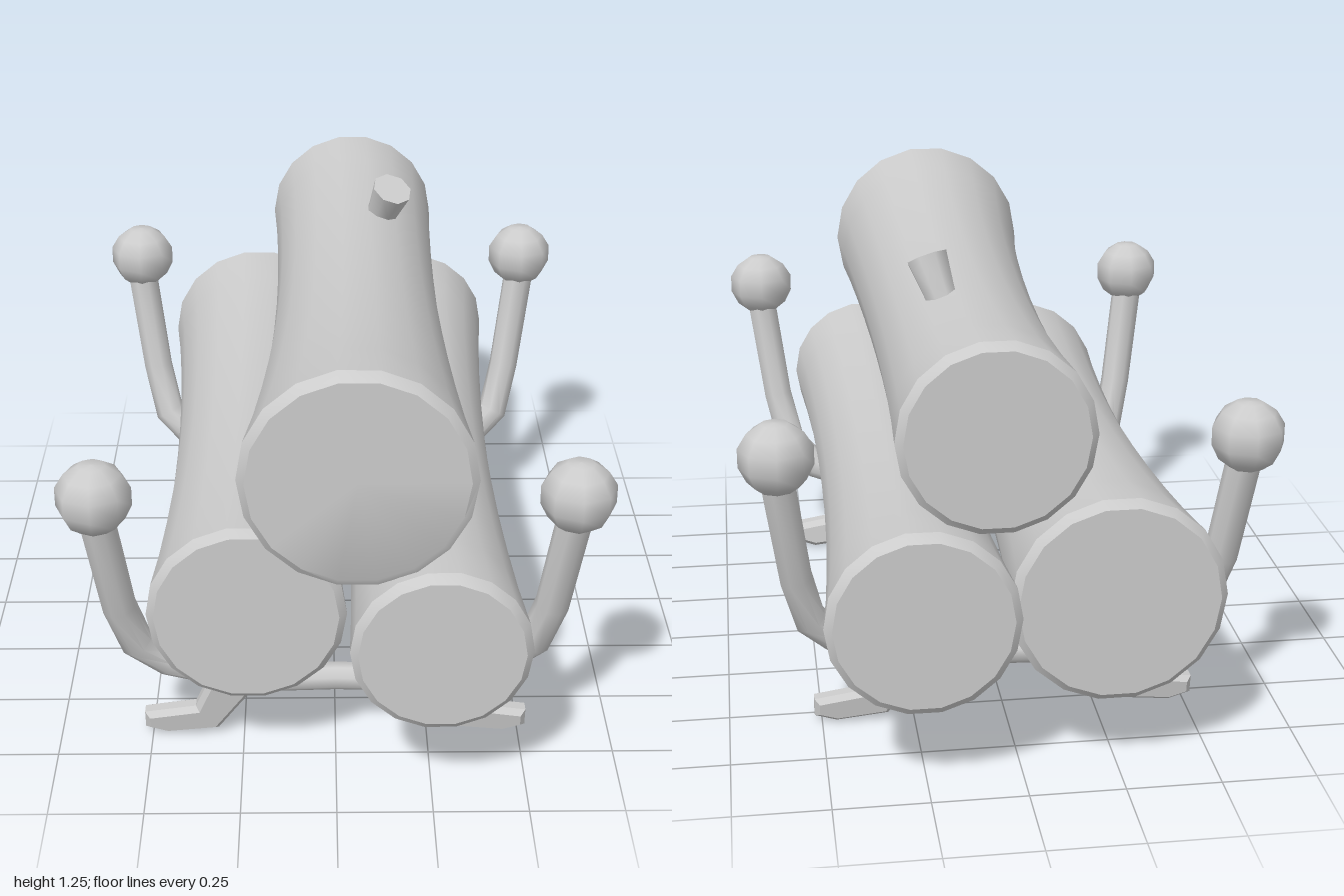
import * as THREE from 'three';
import { toCreasedNormals } from 'three/addons/utils/BufferGeometryUtils.js';

const grey = new THREE.MeshStandardMaterial({ color: 0xcccccc });

function mesh(name, geometry, parent) {
  const m = new THREE.Mesh(geometry, grey);
  m.name = name;
  parent.add(m);
  return m;
}

// Closed loft through rings [x, y, z, radius]; ref fixes the ring orientation
function loft(rings, sides, ref, crease) {
  const pts = rings.map(r => new THREE.Vector3(r[0], r[1], r[2]));
  const pos = [], index = [];
  const last = rings.length - 1;
  // One tangent direction per ring, from the segments on either side
  const tangents = pts.map((p, i) => {
    const a = pts[Math.max(i - 1, 0)], b = pts[Math.min(i + 1, last)];
    const t = new THREE.Vector3();
    if (i > 0) t.add(p.clone().sub(a).normalize());
    if (i < last) t.add(b.clone().sub(p).normalize());
    return t.normalize();
  });
  pts.forEach((p, i) => {
    const t = tangents[i];
    const u = ref.clone().addScaledVector(t, -ref.dot(t)).normalize();
    const v = t.clone().cross(u);
    for (let j = 0; j < sides; j++) {
      const a = (j + 0.5) / sides * Math.PI * 2;
      const q = p.clone().addScaledVector(u, Math.cos(a) * rings[i][3]).addScaledVector(v, Math.sin(a) * rings[i][3]);
      pos.push(q.x, q.y, q.z);
    }
  });
  for (let i = 0; i < last; i++) {
    for (let j = 0; j < sides; j++) {
      const k = (j + 1) % sides;
      const a = i * sides + j, b = i * sides + k;
      index.push(a, b, a + sides, b, b + sides, a + sides);
    }
  }
  // End caps
  const c0 = pos.length / 3;
  pos.push(...pts[0].toArray(), ...pts[last].toArray());
  for (let j = 0; j < sides; j++) {
    const k = (j + 1) % sides;
    index.push(c0, k, j, c0 + 1, last * sides + j, last * sides + k);
  }
  const g = new THREE.BufferGeometry();
  g.setAttribute('position', new THREE.Float32BufferAttribute(pos, 3));
  g.setIndex(index);
  return toCreasedNormals(g, crease);
}

// Log with a narrowed waist and bevelled ends; each end and the waist is [x, y, z, r]
function log(name, back, waist, front, parent) {
  const curve = n => {
    const [a, b, c] = [back[n], waist[n], front[n]];
    const s = (waist[2] - back[2]) / (front[2] - back[2]);
    // Quadratic through the three given sections
    return t => a * (t - s) * (t - 1) / s + b * t * (t - 1) / (s * (s - 1)) + c * t * (t - s) / (1 - s);
  };
  const f = [0, 1, 2, 3].map(curve);
  const rings = [];
  const steps = 10;
  for (let i = 0; i <= steps; i++) rings.push(f.map(fn => fn(i / steps)));
  const [b, e] = [rings[0], rings[steps]];
  const bevel = 0.02;
  rings.unshift([b[0], b[1], b[2], b[3] - bevel]);
  rings.push([e[0], e[1], e[2], e[3] - bevel]);
  rings[1][2] += bevel;
  rings[steps + 1][2] -= bevel;
  mesh(name, loft(rings, 18, new THREE.Vector3(0, 1, 0), 0.6), parent);
}

// Curved rail with two posts, ball finials and splayed feet
function andiron() {
  const g = new THREE.Group();
  const half = [
    [0.23, 0.185, 0.605, 0.038],
    [0.445, 0.265, 0.63, 0.044],
    [0.525, 0.345, 0.66, 0.046],
    [0.56, 0.49, 0.71, 0.045],
    [0.6, 0.79, 0.755, 0.046],
  ];
  const path = [
    ...half.map(([x, y, z, r]) => [-x, y, z, r]).reverse(),
    [0, 0.192, 0.605, 0.038],
    ...half,
  ];
  mesh('rail', loft(path, 8, new THREE.Vector3(0, 0, 1), 0.95), g);

  const ballProfile = [[0, -0.095], [0.045, -0.088], [0.075, -0.065], [0.095, -0.025], [0.095, 0.025], [0.072, 0.062], [0.035, 0.087], [0, 0.09]]
    .map(p => new THREE.Vector2(...p));
  const footOutline = [[0.22, 0.165], [0.32, 0.02], [0.46, 0.005], [0.52, 0.025], [0.52, 0.078], [0.38, 0.1], [0.345, 0.185], [0.27, 0.2]];

  for (const side of [1, -1]) {
    const ball = mesh('finial', new THREE.LatheGeometry(ballProfile, 8), g);
    ball.position.set(side * 0.6, 0.85, 0.77);

    const shape = new THREE.Shape(footOutline.map(([x, y]) => new THREE.Vector2(side * x, y)));
    const foot = new THREE.ExtrudeGeometry(shape, {
      depth: 0.03, bevelEnabled: true, bevelSegments: 1, bevelThickness: 0.018, bevelSize: 0.014, bevelOffset: -0.014,
    });
    // Lean the foot slightly along the depth
    const p = foot.attributes.position;
    for (let i = 0; i < p.count; i++) p.setZ(i, p.getZ(i) + 0.575 + (p.getY(i) - 0.05) * 0.15);
    foot.computeVertexNormals();
    mesh('foot', foot, g);
  }
  return g;
}

export function createModel() {
  const model = new THREE.Group();
  model.name = 'logRack';

  // Stacked logs
  const logs = new THREE.Group();
  logs.name = 'logs';
  model.add(logs);
  log('topLog', [0.07, 0.935, -0.91, 0.25], [0.07, 0.925, -0.1, 0.233], [0.05, 0.96, 0.96, 0.293], logs);
  log('leftLog', [-0.235, 0.5, -0.94, 0.277], [-0.23, 0.49, 0.05, 0.228], [-0.23, 0.495, 0.83, 0.258], logs);
  log('rightLog', [0.262, 0.495, -1, 0.245], [0.252, 0.47, 0.05, 0.206], [0.262, 0.493, 1, 0.23], logs);

  // Cut branch on the top log
  mesh('branchStub', loft([
    [0.135, 1.1, -0.355, 0.042],
    [0.15, 1.15, -0.335, 0.046],
    [0.175, 1.228, -0.298, 0.058],
  ], 8, new THREE.Vector3(0, 0, 1), 0.9), logs);

  // Rack, centred slightly forward of the logs
  const rack = new THREE.Group();
  rack.name = 'rack';
  rack.position.z = 0.05;
  model.add(rack);
  const front = andiron();
  front.name = 'frontAndiron';
  const back = andiron();
  back.name = 'backAndiron';
  back.rotation.y = Math.PI;
  rack.add(front, back);

  // Hexagonal bars joining the andirons
  for (const side of [1, -1]) {
    const bar = new THREE.CylinderGeometry(0.043, 0.043, 1.2, 6).rotateY(Math.PI / 6).rotateX(Math.PI / 2);
    const m = mesh('crossBar', toCreasedNormals(bar, 0.5), rack);
    m.position.set(side * 0.24, 0.197, 0);
  }
  return model;
}
